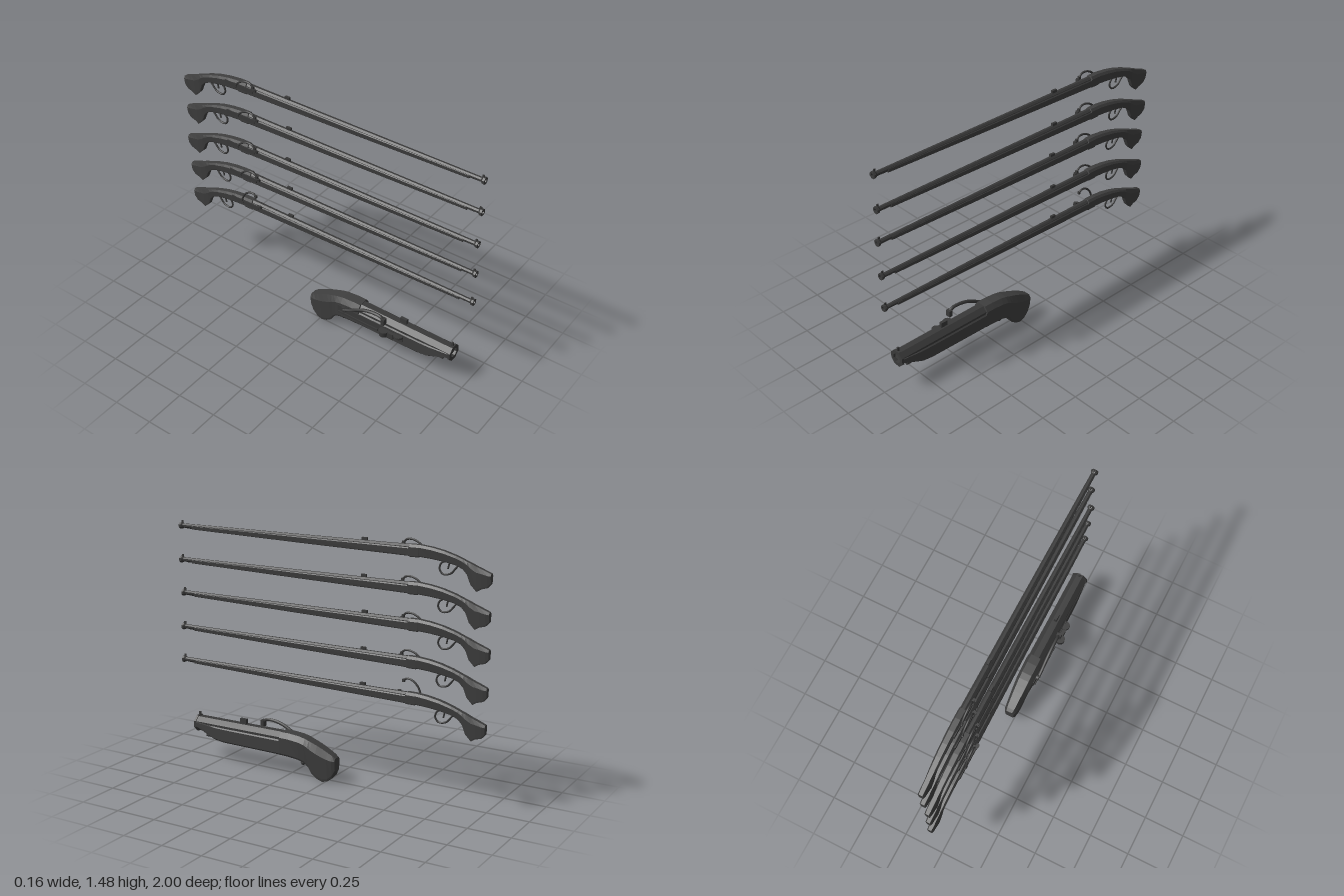
import * as THREE from 'three';

const wood = new THREE.MeshStandardMaterial({ color: 0x3e3e3e, flatShading: true });
const iron = new THREE.MeshStandardMaterial({ color: 0x393939, flatShading: true });
const smoothIron = new THREE.MeshStandardMaterial({ color: 0x393939 });

function add(parent, name, geometry, material, x = 0, y = 0, z = 0) {
  const mesh = new THREE.Mesh(geometry, material);
  mesh.name = name;
  mesh.position.set(x, y, z);
  parent.add(mesh);
  return mesh;
}

const box = (p, name, w, h, d, x, y, z) => add(p, name, new THREE.BoxGeometry(w, h, d), iron, x, y, z);

// Chamfered stock; stations run front to back: [z, top, bottom, half width above, half width below]
function loft(stations) {
  const pos = [], idx = [];
  for (const [z, t, b, wt, wb] of stations) {
    const h = t - b;
    const half = [[0.88 * wb, b], [wb, b + 0.08 * h], [wt, t - 0.22 * h], [0.6 * wt, t]];
    for (const [x, y] of half) pos.push(x, y, z);
    for (const [x, y] of half.reverse()) pos.push(-x, y, z);
  }
  const last = (stations.length - 1) * 8;
  for (let s = 0; s < last; s += 8) {
    for (let j = 0; j < 8; j++) {
      const k = (j + 1) % 8;
      idx.push(s + j, s + 8 + j, s + k, s + k, s + 8 + j, s + 8 + k);
    }
  }
  for (let j = 1; j < 7; j++) idx.push(0, j, j + 1, last, last + j + 1, last + j);
  const g = new THREE.BufferGeometry();
  g.setAttribute('position', new THREE.Float32BufferAttribute(pos, 3));
  g.setIndex(idx);
  const flat = g.toNonIndexed();
  flat.computeVertexNormals();
  return flat;
}

// Hollow octagonal barrel along z from [radius, z] points
function barrel(points) {
  const g = new THREE.LatheGeometry(points.map(([r, z]) => new THREE.Vector2(r, z)), 8, Math.PI / 8);
  return g.rotateX(Math.PI / 2);
}

// Bent rod in a plane of constant x from [z, y] points
function rod(points, r, x = 0) {
  const curve = new THREE.CatmullRomCurve3(points.map(([z, y]) => new THREE.Vector3(x, y, z)));
  return new THREE.TubeGeometry(curve, 24, r, 8);
}

const zCylinder = (r, len, n = 10) => new THREE.CylinderGeometry(r, r, len, n).rotateX(Math.PI / 2);
const xCylinder = (r, len, n = 12) => new THREE.CylinderGeometry(r, r, len, n).rotateZ(Math.PI / 2);

// Long gun, with its barrel top at local y = 0
function longGun(cocked) {
  const g = new THREE.Group();
  g.name = 'longGun';
  add(g, 'stock', loft([
    [0.91, -0.01, -0.034, 0.014, 0.012],
    [0.2, -0.01, -0.048, 0.019, 0.016],
    [-0.525, -0.008, -0.06, 0.022, 0.02],
    [-0.53, 0.003, -0.064, 0.024, 0.021],
    [-0.585, 0.003, -0.064, 0.024, 0.021],
    [-0.59, 0.003, -0.06, 0.024, 0.02],
    [-0.66, -0.004, -0.065, 0.024, 0.019],
    [-0.73, -0.017, -0.073, 0.023, 0.018],
    [-0.8, -0.037, -0.086, 0.022, 0.017],
    [-0.84, -0.052, -0.103, 0.021, 0.016],
    [-0.865, -0.062, -0.13, 0.021, 0.015],
    [-0.885, -0.069, -0.18, 0.021, 0.014],
    [-0.92, -0.084, -0.215, 0.02, 0.014],
    [-0.945, -0.093, -0.2, 0.02, 0.014],
    [-0.98, -0.106, -0.19, 0.019, 0.013],
    [-1, -0.114, -0.168, 0.017, 0.012],
  ]), wood);
  add(g, 'barrel', barrel([
    [0, -0.57], [0.02, -0.57], [0.018, -0.4], [0.0135, 0.965], [0.0135, 0.978],
    [0.021, 0.988], [0.021, 1], [0.01, 1], [0.01, 0.9], [0, 0.9],
  ]), iron, 0, -0.017, 0);
  add(g, 'ramrod', zCylinder(0.005, 0.12, 8), smoothIron, 0, -0.028, 0.89);
  box(g, 'frontSight', 0.005, 0.014, 0.012, 0, 0.007, 0.985);
  box(g, 'rearSight', 0.014, 0.022, 0.032, 0, 0.004, -0.25);

  // Lock on the right side
  box(g, 'lockPlate', 0.006, 0.026, 0.2, -0.024, -0.028, -0.58);
  box(g, 'flashPan', 0.016, 0.012, 0.035, -0.026, -0.014, -0.47);
  add(g, 'panCover', new THREE.CylinderGeometry(0.011, 0.011, 0.006, 10), smoothIron, -0.029, -0.006, -0.465);
  add(g, 'lockPivot', xCylinder(0.01, 0.01), smoothIron, -0.026, -0.03, -0.6);
  const arm = cocked
    ? [[-0.602, -0.03], [-0.595, 0], [-0.577, 0.036], [-0.544, 0.062], [-0.512, 0.068], [-0.492, 0.054]]
    : [[-0.602, -0.03], [-0.585, -0.008], [-0.56, 0.011], [-0.525, 0.024], [-0.492, 0.021], [-0.474, 0.003]];
  add(g, 'serpentine', rod(arm, 0.006, -0.026), smoothIron);
  const [tz, ty] = arm[arm.length - 1];
  box(g, 'matchHolder', 0.014, 0.016, 0.014, -0.026, ty, tz);

  // Trigger and guard
  add(g, 'triggerGuard', rod([
    [-0.735, -0.07], [-0.71, -0.085], [-0.701, -0.116], [-0.722, -0.142],
    [-0.766, -0.135], [-0.796, -0.103], [-0.812, -0.085],
  ], 0.0055), smoothIron);
  add(g, 'trigger', rod([[-0.762, -0.066], [-0.755, -0.09], [-0.75, -0.112]], 0.005), smoothIron);
  return g;
}

// Short hand gun, in final y and z
function shortGun() {
  const g = new THREE.Group();
  g.name = 'shortGun';
  add(g, 'stock', loft([
    [0.905, 0.235, 0.197, 0.048, 0.046],
    [0.77, 0.235, 0.14, 0.051, 0.051],
    [0.7, 0.235, 0.13, 0.051, 0.051],
    [0.3, 0.235, 0.126, 0.053, 0.052],
    [0.295, 0.263, 0.125, 0.054, 0.053],
    [0.24, 0.263, 0.123, 0.054, 0.052],
    [0.17, 0.257, 0.114, 0.053, 0.048],
    [0.13, 0.248, 0.1, 0.052, 0.043],
    [0.105, 0.239, 0.075, 0.051, 0.038],
    [0.085, 0.232, 0.04, 0.05, 0.035],
    [0.05, 0.219, 0.014, 0.048, 0.033],
    [0.015, 0.204, 0.002, 0.045, 0.032],
    [-0.02, 0.187, 0.012, 0.042, 0.031],
    [-0.05, 0.171, 0.042, 0.038, 0.029],
    [-0.069, 0.158, 0.08, 0.031, 0.025],
  ]), wood);
  add(g, 'barrel', barrel([
    [0, 0.25], [0.05, 0.25], [0.048, 0.905], [0.053, 0.905], [0.053, 0.918],
    [0.03, 0.918], [0.03, 0.75], [0, 0.75],
  ]), iron, 0, 0.214, 0);
  add(g, 'ramrod', zCylinder(0.013, 0.3), smoothIron, 0, 0.145, 0.705);
  box(g, 'frontSight', 0.01, 0.03, 0.012, 0, 0.27, 0.905);
  box(g, 'rearSight', 0.018, 0.035, 0.044, 0, 0.273, 0.58);
  add(g, 'trigger', rod([[0.17, 0.13], [0.165, 0.11], [0.16, 0.095]], 0.006), smoothIron);
  add(g, 'triggerBall', new THREE.SphereGeometry(0.016, 12, 8), smoothIron, 0, 0.089, 0.16);

  // Lock on the right side
  box(g, 'lockPlate', 0.01, 0.05, 0.46, -0.052, 0.185, 0.38);
  box(g, 'mainspring', 0.008, 0.012, 0.28, -0.06, 0.168, 0.3);
  box(g, 'flashPan', 0.03, 0.035, 0.07, -0.063, 0.185, 0.52);
  add(g, 'panBowl', new THREE.CylinderGeometry(0.03, 0.026, 0.036, 14), smoothIron, -0.072, 0.186, 0.49);
  add(g, 'panCover', new THREE.CylinderGeometry(0.03, 0.03, 0.012, 14), smoothIron, -0.06, 0.2, 0.583);
  add(g, 'lockPivot', xCylinder(0.018, 0.018), smoothIron, -0.06, 0.2, 0.2);
  add(g, 'serpentine', rod([
    [0.2, 0.2], [0.25, 0.222], [0.3, 0.252], [0.35, 0.275], [0.41, 0.288], [0.462, 0.285], [0.484, 0.26],
  ], 0.01, -0.065), smoothIron);
  box(g, 'matchHolder', 0.03, 0.04, 0.022, -0.065, 0.262, 0.482);
  return g;
}

export function createModel() {
  const model = new THREE.Group();
  model.name = 'gunDisplay';
  // Five long guns stacked upward, the lowest one cocked
  [[0.036, 1.447], [0.042, 1.245], [0.031, 1.041], [0.041, 0.834], [0.047, 0.631]].forEach(([x, y], i) => {
    const gun = longGun(i === 4);
    gun.position.set(x, y, 0);
    model.add(gun);
  });
  const hand = shortGun();
  hand.position.x = 0.022;
  model.add(hand);
  return model;
}
